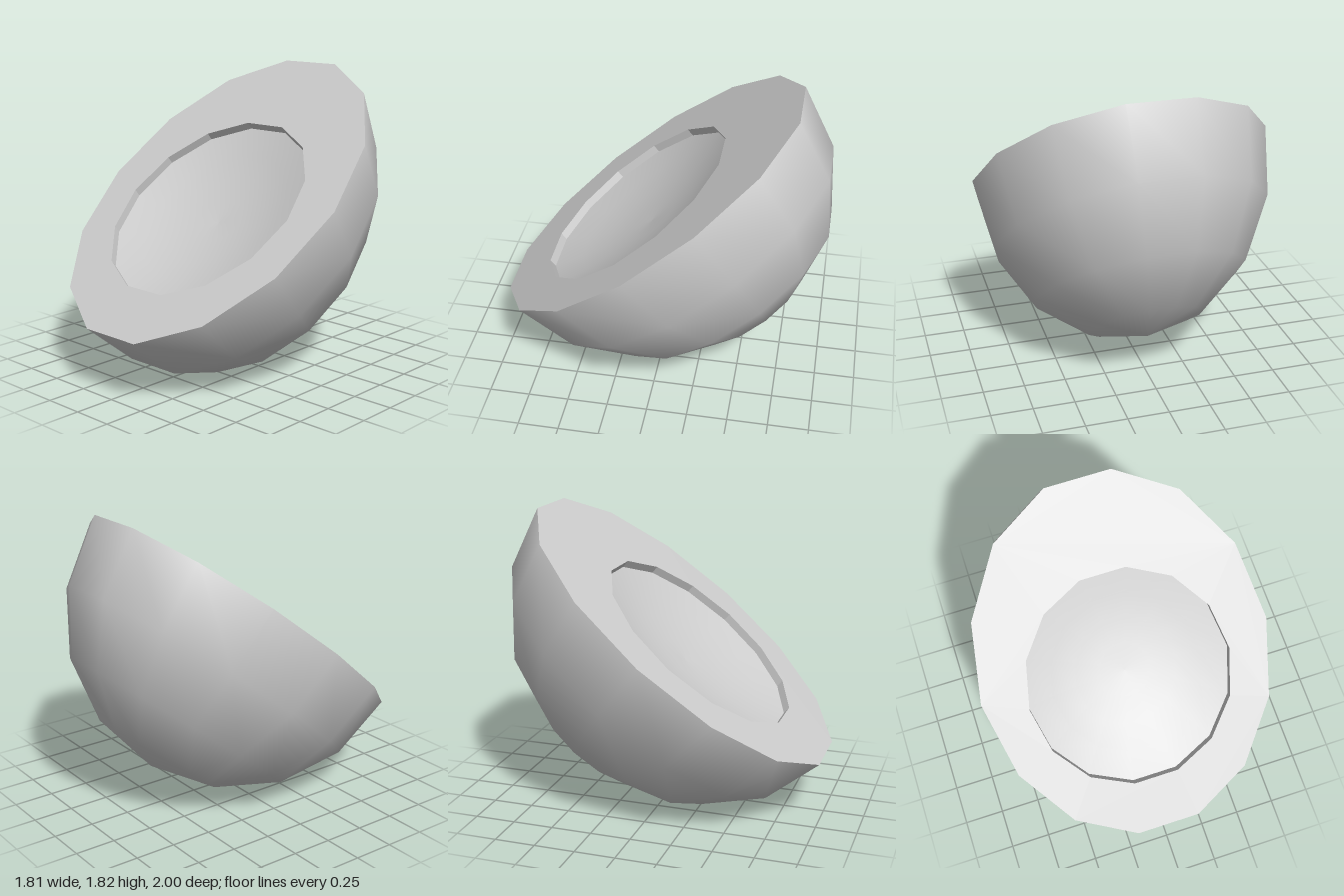
import * as THREE from 'three';

const SIDES = 14;
const OUTER = { x: 0.907, z: 1.174, depth: 1.083 };
const HOLE = { x: 0.64, z: 0.7, centre: 0.119, lip: 0.052, floor: 0.17 };

// Corner points of a faceted oval
function oval(rx, rz, cy = 0) {
  return Array.from({ length: SIDES }, (_, i) => {
    const a = (i / SIDES) * Math.PI * 2;
    return new THREE.Vector2(Math.cos(a) * rx, Math.sin(a) * rz + cy);
  });
}

export function createModel() {
  const model = new THREE.Group();
  const bowl = new THREE.Group();
  bowl.name = 'halfShell';
  model.add(bowl);

  const add = (name, geometry, options = {}) => {
    const mesh = new THREE.Mesh(
      geometry,
      new THREE.MeshStandardMaterial({ color: 0xcccccc, ...options })
    );
    mesh.name = name;
    bowl.add(mesh);
    return mesh;
  };

  // Outer half ellipsoid
  const shell = new THREE.SphereGeometry(1, SIDES, 4, 0, Math.PI * 2, Math.PI / 2, Math.PI / 2);
  shell.scale(OUTER.x, OUTER.depth, OUTER.z);
  add('outerShell', shell);

  // Flat cut face with the off-centre opening
  const face = new THREE.Shape(oval(OUTER.x, OUTER.z));
  face.holes.push(new THREE.Path(oval(HOLE.x, HOLE.z, -HOLE.centre)));
  add('cutFace', new THREE.ShapeGeometry(face).rotateX(-Math.PI / 2));

  // Short straight wall of the opening
  const wall = new THREE.CylinderGeometry(1, 1, HOLE.lip, SIDES, 1, true, Math.PI / 2);
  wall.scale(HOLE.x, 1, HOLE.z).translate(0, -HOLE.lip / 2, HOLE.centre);
  add('cavityWall', wall, { side: THREE.DoubleSide, flatShading: true });

  // Shallow concave floor
  const profile = [];
  for (let i = 0; i <= 4; i++) {
    const r = i / 4;
    profile.push(new THREE.Vector2(r, -HOLE.floor + (HOLE.floor - HOLE.lip) * r * r));
  }
  const floor = new THREE.LatheGeometry(profile, SIDES, Math.PI / 2);
  floor.scale(HOLE.x, 1, HOLE.z).translate(0, 0, HOLE.centre);
  add('cavityFloor', floor, { side: THREE.DoubleSide });

  // Lean the cut face toward the front
  bowl.rotation.x = Math.atan2(1.44, 1.78);
  bowl.position.set(0, 1.108, 0.11);
  return model;
}
